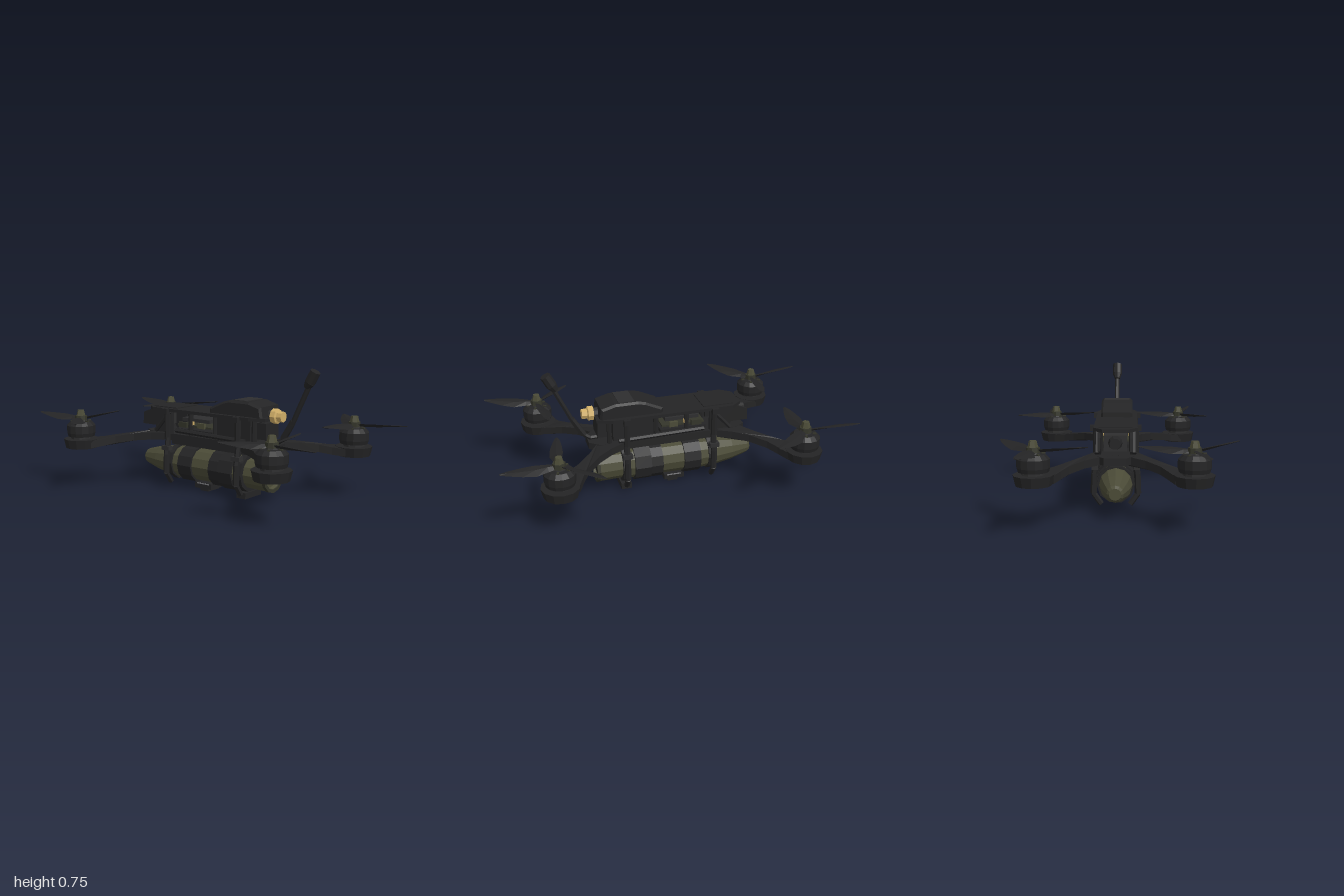
import * as THREE from 'three';

const mat = (name, color) => Object.assign(new THREE.MeshStandardMaterial({ color }), { name });

export function createModel() {
  const black = mat('black', 0x242425), dark = mat('dark grey', 0x2e2e2f);
  const olive = mat('olive', 0x4b4b37), oliveDark = mat('dark olive', 0x34352a);
  const gold = mat('brass', 0xd0ae68), grey = mat('light grey', 0x77777a);
  const model = new THREE.Group();
  model.name = 'quadcopter';

  // Faceted mesh helper
  const add = (name, geo, material, x = 0, y = 0, z = 0, parent = model) => {
    const g = geo.index ? geo.toNonIndexed() : geo;
    g.computeVertexNormals();
    const m = new THREE.Mesh(g, material);
    m.name = name;
    m.position.set(x, y, z);
    parent.add(m);
    return m;
  };
  // Box from its limits
  const box = (name, m, x0, x1, y0, y1, z0, z1) => add(name,
    new THREE.BoxGeometry(x1 - x0, y1 - y0, z1 - z0), m, (x0 + x1) / 2, (y0 + y1) / 2, (z0 + z1) / 2);
  const shape = pts => new THREE.Shape(pts.map(p => new THREE.Vector2(...p)));
  const extrude = (pts, depth, bevel = 0) => new THREE.ExtrudeGeometry(shape(pts), {
    depth, bevelEnabled: bevel > 0, bevelSize: bevel, bevelThickness: bevel, bevelSegments: 1, curveSegments: 4 });
  // Plate lying flat, outline given in x and z
  const plate = (pts, h) => extrude(pts, h).rotateX(-Math.PI / 2);
  // Turned part along x, profile given as [x, radius]
  const turned = (pts, sides) => new THREE.LatheGeometry(pts.map(([x, r]) => new THREE.Vector2(r, x)), sides)
    .rotateZ(-Math.PI / 2);
  // Bar between two points
  const bar = (name, m, a, b, r0, r1 = r0, sides = 6) => {
    const A = new THREE.Vector3(...a), B = new THREE.Vector3(...b), d = B.clone().sub(A);
    const mesh = add(name, new THREE.CylinderGeometry(r1, r0, d.length(), sides), m);
    mesh.position.copy(A).add(B).multiplyScalar(0.5);
    mesh.quaternion.setFromUnitVectors(new THREE.Vector3(0, 1, 0), d.normalize());
    return mesh;
  };

  // Twisted propeller blade along x, lofted from diamond sections
  const bladeGeometry = L => {
    const st = [[0.02, -0.014, 0.014, 0.5], [0.2, -0.026, 0.022, 0.45], [0.42, -0.046, 0.03, 0.34],
      [0.65, -0.038, 0.028, 0.25], [0.87, -0.018, 0.022, 0.18], [1, -0.002, 0.012, 0.12]];
    const pos = [], idx = [];
    st.forEach(([t, a, b, tw]) => {
      const mid = (a + b) / 2, th = 0.008 * (1 - 0.6 * t);
      [[a, 0], [mid, th], [b, 0], [mid, -th]].forEach(([w, h]) =>
        pos.push(t * L, h + w * Math.sin(tw) + 0.018 * t, w * Math.cos(tw)));
    });
    for (let i = 0; i < st.length - 1; i++) for (let j = 0; j < 4; j++) {
      const p = i * 4 + j, q = i * 4 + (j + 1) % 4;
      idx.push(p, q, p + 4, q, q + 4, p + 4);
    }
    const e = (st.length - 1) * 4;
    idx.push(0, 2, 1, 0, 3, 2, e, e + 1, e + 2, e, e + 2, e + 3);
    const g = new THREE.BufferGeometry();
    g.setAttribute('position', new THREE.Float32BufferAttribute(pos, 3));
    g.setIndex(idx);
    return g;
  };

  // Arms, motors and propellers; blade tips are offsets in x and z
  const rotors = [
    [-0.69, -0.4, [[-0.31, -0.04], [0.24, -0.2], [0.01, 0.27]]],
    [0.685, -0.41, [[0.3, -0.04], [-0.2, -0.22], [-0.03, 0.28]]],
    [-0.69, 0.395, [[-0.31, 0.05], [0.21, 0.24], [0.03, -0.28]]],
    [0.68, 0.395, [[0.3, 0.08], [-0.2, 0.17], [-0.03, -0.29]]]];
  rotors.forEach(([x, z, tips]) => {
    const ax = Math.sign(x) * 0.33, az = Math.sign(z) * 0.06;
    const len = Math.hypot(x - ax, z - az);
    const edge = [[0, 0.075], [0.08, 0.05], [0.18, 0.033], [0.29, 0.034], [0.36, 0.05], [0.43, 0.075]];
    const arm = plate([...edge.map(([u, w]) => [u, -w]), ...edge.slice().reverse()], 0.042);
    const p = arm.attributes.position;
    for (let i = 0; i < p.count; i++) p.setY(i, p.getY(i) - 0.045 * Math.min(1, p.getX(i) / 0.4) ** 2);
    add('arm', arm, black, ax, 0.282, az).rotation.y = Math.atan2(-(z - az), x - ax);

    const g = new THREE.Group();
    g.name = 'rotor';
    g.position.set(x, 0, z);
    model.add(g);
    const cyl = (name, m, r0, r1, y0, y1, n) =>
      add(name, new THREE.CylinderGeometry(r1, r0, y1 - y0, n), m, 0, (y0 + y1) / 2, 0, g);
    cyl('motorMount', black, 0.092, 0.104, 0.232, 0.285, 12);
    cyl('motorBase', dark, 0.06, 0.06, 0.285, 0.305, 10);
    cyl('motorBell', black, 0.078, 0.084, 0.3, 0.322, 14);
    cyl('motorBell', black, 0.084, 0.084, 0.322, 0.365, 14);
    cyl('motorCap', black, 0.084, 0.062, 0.365, 0.388, 14);
    cyl('motorShaft', dark, 0.035, 0.03, 0.385, 0.402, 8);
    cyl('propellerHub', oliveDark, 0.036, 0.034, 0.395, 0.422, 8);
    cyl('propellerNut', olive, 0.027, 0.019, 0.422, 0.455, 6);
    for (let i = 0; i < 5; i++) {
      const a = i * Math.PI * 0.4;
      add('motorScrew', new THREE.BoxGeometry(0.02, 0.01, 0.012), oliveDark,
        0.052 * Math.cos(a), 0.388, 0.052 * Math.sin(a), g).rotation.y = -a;
    }
    tips.forEach(([dx, dz]) => {
      add('propellerBlade', bladeGeometry(Math.hypot(dx, dz)), black, 0, 0.402, 0, g)
        .rotation.y = Math.atan2(-dz, dx);
    });
  });

  // Frame plates
  add('bottomPlate', plate([[-0.46, -0.06], [-0.4, -0.1], [0.4, -0.1], [0.46, -0.05], [0.46, 0.05], [0.4, 0.1],
    [-0.4, 0.1], [-0.46, 0.06]], 0.04), black, 0, 0.283);
  add('topPlate', plate([[-0.43, -0.07], [-0.37, -0.118], [0.33, -0.118], [0.42, -0.085], [0.42, 0.085],
    [0.33, 0.118], [-0.37, 0.118], [-0.43, 0.07]], 0.018), black, 0, 0.453);
  box('topCover', black, -0.38, -0.2, 0.468, 0.476, -0.09, 0.09);

  // Nose cheeks with camera between them
  for (const s of [-1, 1]) {
    add('noseCheek', extrude([[-0.47, 0.36], [-0.37, 0.36], [-0.35, 0.32], [-0.27, 0.32], [-0.27, 0.455],
      [-0.4, 0.455], [-0.465, 0.43]], 0.015), black, 0, 0, s * 0.085 - 0.0075);
    bar('frameBrace', black, [-0.36, 0.33, s * 0.1], [-0.25, 0.45, s * 0.1], 0.013);
    for (const x of [-0.25, -0.1, 0.08, 0.35])
      bar('standoff', black, [x, 0.32, s * 0.085], [x, 0.455, s * 0.085], 0.014);
    bar('sideCable', black, [-0.2, 0.345, s * 0.1], [0.3, 0.335, s * 0.1], 0.014);
    box('boardConnector', oliveDark, -0.19, -0.13, 0.365, 0.395, s * 0.08 - 0.008, s * 0.08 + 0.008);
    box('boardContact', gold, -0.11, -0.085, 0.385, 0.405, s * 0.078 - 0.008, s * 0.078 + 0.008);
    box('boardChip', olive, -0.05, 0, 0.37, 0.4, s * 0.08 - 0.008, s * 0.08 + 0.008);
  }
  box('cameraBody', dark, -0.43, -0.34, 0.355, 0.44, -0.06, 0.06);
  add('cameraLens', turned([[-0.475, 0], [-0.475, 0.03], [-0.43, 0.038], [-0.42, 0]], 10), black, 0, 0.4);

  // Electronics stack
  box('flightBoard', oliveDark, -0.21, 0.04, 0.37, 0.38, -0.075, 0.075);
  box('speedBoard', black, -0.22, 0.05, 0.335, 0.355, -0.078, 0.078);
  box('radioBoard', dark, -0.18, 0.02, 0.4, 0.42, -0.065, 0.065);

  // Battery pack with straps
  add('battery', extrude([[0.05, 0.46], [0.05, 0.49], [0.14, 0.53], [0.18, 0.54], [0.31, 0.54], [0.38, 0.52],
    [0.39, 0.46]], 0.16, 0.012), black, 0, 0, -0.08);
  box('batteryStrap', dark, 0.2, 0.29, 0.46, 0.556, -0.075, 0.075);
  box('lowerPack', black, 0.1, 0.33, 0.335, 0.455, -0.095, 0.095);
  box('rearModule', black, 0.33, 0.41, 0.35, 0.44, -0.06, 0.06);

  // Rear connector
  add('connectorSleeve', turned([[0.37, 0], [0.37, 0.03], [0.43, 0.03], [0.43, 0]], 8), dark, 0, 0.48);
  add('brassConnector', turned([[0.42, 0], [0.42, 0.042], [0.45, 0.042], [0.455, 0.03], [0.485, 0.03],
    [0.485, 0]], 8), gold, 0, 0.478, 0.005);

  // Antenna
  const path = new THREE.CatmullRomCurve3([[0.34, 0.36], [0.4, 0.335], [0.45, 0.335], [0.51, 0.4], [0.58, 0.54],
    [0.64, 0.665]].map(([x, y]) => new THREE.Vector3(x, y, -0.005)));
  add('antennaStem', new THREE.TubeGeometry(path, 14, 0.014, 6), black);
  bar('antennaCollar', black, [0.48, 0.36, -0.005], [0.54, 0.46, -0.005], 0.019, 0.016);
  bar('antennaHead', black, [0.62, 0.645, -0.005], [0.64, 0.675, -0.005], 0.018, 0.03, 8);
  bar('antennaHead', black, [0.64, 0.675, -0.005], [0.672, 0.733, -0.005], 0.03, 0.029, 8);

  // Slung cylinder with tapered nose and recessed tail
  const cy = 0.143;
  add('slungBody', turned([[-0.52, 0], [-0.52, 0.032], [-0.505, 0.045], [-0.4, 0.073], [-0.3, 0.09], [-0.2, 0.096],
    [0.22, 0.096], [0.27, 0.088], [0.42, 0.092], [0.42, 0.072], [0.4, 0.066], [0.4, 0]], 12), olive, 0, cy);
  add('tailRim', turned([[0.405, 0.094], [0.424, 0.094], [0.424, 0.075], [0.4, 0.07]], 12), oliveDark, 0, cy);
  add('tailCap', turned([[0.4, 0.05], [0.414, 0.045], [0.416, 0]], 6), black, 0, cy);

  // Straps and clamps round the cylinder
  const band = (name, m, x0, x1, r, sides) =>
    add(name, turned([[x0, 0.08], [x0, r], [x1, r], [x1, 0.08]], sides), m, 0, cy);
  band('strap', black, -0.19, -0.09, 0.108, 12);
  band('strap', black, 0.04, 0.11, 0.108, 12);
  band('strap', black, 0.11, 0.205, 0.112, 10);
  band('clampRing', black, -0.275, -0.24, 0.106, 10);
  band('clampRing', black, 0.235, 0.275, 0.112, 10);
  box('cradleRail', black, -0.28, 0.28, 0.25, 0.285, -0.05, 0.05);
  for (const x of [-0.26, 0.255]) for (const s of [-1, 1]) {
    bar('clampPost', black, [x, 0.2, s * 0.118], [x, 0.3, s * 0.1], 0.018);
    bar('clampPost', black, [x, 0.09, s * 0.122], [x, 0.2, s * 0.118], 0.018);
    bar('clampLeg', black, [x, 0.09, s * 0.122], [x, 0.03, s * 0.08], 0.016);
    bar('framePost', black, [x, 0.3, s * 0.108], [x, 0.46, s * 0.108], 0.017);
    box('clampTab', black, x - 0.02, x + 0.02, 0.44, 0.47, s * 0.125 - 0.015, s * 0.125 + 0.015);
    box('clampKnob', dark, x - 0.028, x + 0.028, 0.225, 0.25, s * 0.115 - 0.018, s * 0.115 + 0.018);
  }
  box('clampFoot', black, 0.225, 0.285, 0.005, 0.04, -0.075, 0.075);
  box('strapBuckle', black, -0.1, 0.02, 0.012, 0.045, -0.05, 0.05);
  box('bucklePlate', grey, -0.08, 0.005, 0.038, 0.044, -0.054, 0.054);
  box('landingPad', black, -0.06, 0, 0, 0.015, -0.05, 0.05);
  return model;
}
